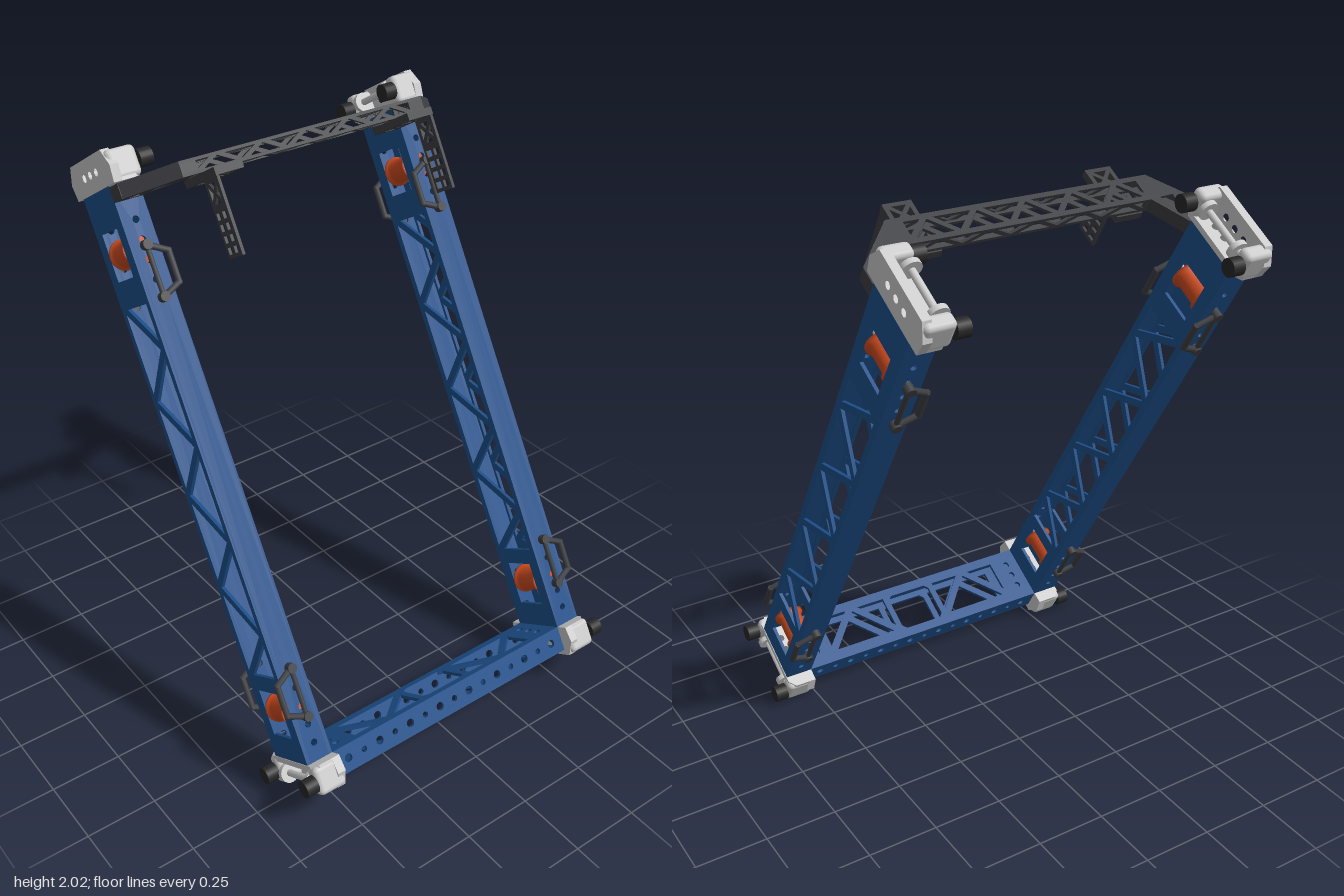
import * as THREE from 'three';
import { RoundedBoxGeometry } from 'three/addons/geometries/RoundedBoxGeometry.js';

const mat = (color) => new THREE.MeshStandardMaterial({ color });
const blue = mat(0x1d4f8a), dark = mat(0x3d3e42), black = mat(0x262626);
const orange = mat(0xcc4a20), grey = mat(0xcccccc);

function add(parent, name, geo, material, x = 0, y = 0, z = 0) {
  const m = new THREE.Mesh(geo, material);
  m.name = name;
  m.position.set(x, y, z);
  parent.add(m);
  return m;
}

// Flat plate cut from an outline, with polygon or round holes; centred on its thickness
const vec = (pts) => pts.map(([a, b]) => new THREE.Vector2(a, b));
const rect = (a0, a1, b0, b1) => [[a0, b0], [a1, b0], [a1, b1], [a0, b1]];
function plate(outline, holes, t) {
  const s = new THREE.Shape(vec(outline));
  for (const h of holes) {
    const p = new THREE.Path();
    if (h.r) p.absarc(h.a, h.b, h.r, 0, Math.PI * 2, true);
    else p.setFromPoints(vec(h));
    s.holes.push(p);
  }
  return new THREE.ExtrudeGeometry(s, { depth: t, bevelEnabled: false, curveSegments: 6 }).translate(0, 0, -t / 2);
}
const flat = (g) => g.rotateX(Math.PI / 2);    // outline (a, b) -> (x, z)
const upright = (g) => g.rotateY(-Math.PI / 2); // outline (a, b) -> (z, y)

// Triangle shrunk inwards by d on every side
function inset(tri, d) {
  const [A, B, C] = vec(tri);
  const a = B.distanceTo(C), b = C.distanceTo(A), c = A.distanceTo(B), p = a + b + c;
  const ix = (a * A.x + b * B.x + c * C.x) / p, iy = (a * A.y + b * B.y + c * C.y) / p;
  const r = Math.abs((B.x - A.x) * (C.y - A.y) - (C.x - A.x) * (B.y - A.y)) / p;
  const k = 1 - d / r;
  return tri.map(([x, y]) => [ix + (x - ix) * k, iy + (y - iy) * k]);
}

// Triangular openings of a zigzag truss; runs along a, with b = -w..w about b0
function zigzag(a0, a1, n, w, b0, d) {
  const step = (a1 - a0) / n, node = (k) => [a0 + k * step, b0 + (k % 2 ? w : -w)];
  const tris = [inset([node(0), [a0, b0 + w], node(1)], d)];
  for (let k = 0; k + 2 <= n; k++) tris.push(inset([node(k), node(k + 1), node(k + 2)], d));
  tris.push(inset([node(n - 1), node(n), [a1, b0 + (n % 2 ? -w : w)]], d));
  return tris;
}
// Four openings of an X-braced rectangle
function cross(a0, a1, b0, b1, d) {
  const c = [(a0 + a1) / 2, (b0 + b1) / 2], q = rect(a0, a1, b0, b1);
  return q.map((p, i) => inset([p, q[(i + 1) % 4], c], d));
}
const swap = (tris) => tris.map((t) => t.map(([a, b]) => [b, a]));

function bar(parent, name, p, q, r, material) {
  const A = new THREE.Vector3(...p), B = new THREE.Vector3(...q);
  const m = add(parent, name, new THREE.CylinderGeometry(r, r, A.distanceTo(B) + r, 8), material);
  m.position.copy(A).lerp(B, 0.5);
  m.quaternion.setFromUnitVectors(new THREE.Vector3(0, 1, 0), B.sub(A).normalize());
}

const LEG_X = 0.562, LEG_H = 1.96, T = 0.012;

// Box-section leg with trussed sides
function leg() {
  const g = new THREE.Group();
  g.name = 'leg';
  const windows = [0.167, 1.753].map((y) => rect(-0.062, 0.062, y - 0.08, y + 0.08));
  const holes = [...windows, ...swap(zigzag(0.29, 1.594, 8, 0.1, 0, 0.013))];
  const dots = [];
  for (let i = 0; i < 5; i++) {
    const y = 0.06 + i * 0.065;
    dots.push({ a: 0, b: y, r: 0.012 }, { a: 0, b: LEG_H - 0.06 - y, r: 0.012 });
  }
  for (const s of [-1, 1]) {
    add(g, 'legSide', upright(plate(rect(-0.111, 0.111, 0, LEG_H), holes, T)), blue, s * 0.044);
    add(g, 'legFace', plate(rect(-0.049, 0.049, 0, LEG_H), dots, T), blue, 0, 0, s * 0.105);
  }
  // spools in the windows
  const prof = [[0, -0.062], [0.052, -0.062], [0.052, -0.05], [0.042, -0.044], [0.042, 0.044], [0.052, 0.05], [0.052, 0.062], [0, 0.062]];
  for (const y of [0.167, 1.753]) {
    add(g, 'spool', new THREE.LatheGeometry(vec(prof), 24).rotateX(Math.PI / 2), orange, 0, y);
    add(g, 'spoolAxle', new THREE.CylinderGeometry(0.01, 0.01, 0.2, 10).rotateX(Math.PI / 2), grey, 0, y);
  }
  return g;
}

// Trapezoid grab handle bulging to +x or -x
function handle(s, side) {
  const g = new THREE.Group();
  g.name = 'handle';
  const pts = [[0, 0.085, 0], [s * 0.066, 0.05, 0], [s * 0.066, -0.055, 0], [0, -0.085, 0]];
  for (let i = 0; i < 3; i++) bar(g, 'grip', pts[i], pts[i + 1], 0.011, dark);
  bar(g, 'inner bar', pts[0], pts[3], 0.009, dark);
  for (const y of [-0.085, 0.085])
    add(g, 'post', new THREE.CylinderGeometry(0.017, 0.017, 0.032, 12).rotateX(Math.PI / 2), dark, 0, y, -side * 0.002);
  return g;
}

// C-shaped corner bracket: floor towards +y, feet towards +x
function bracket() {
  const g = new THREE.Group();
  g.name = 'cornerBracket';
  const holes = [-0.05, 0, 0.05].map((a) => ({ a, b: 0, r: 0.013 }));
  const side = [[-0.155, 0.055], [0.155, 0.055], [0.165, 0], [0.13, -0.055], [-0.13, -0.055], [-0.165, 0]];
  add(g, 'bracketSide', upright(plate(side, holes, 0.03)), grey, -0.035);
  const floor = [[-0.05, -0.155], [0.03, -0.155], [0.052, -0.13], [0.052, 0.13], [0.03, 0.155], [-0.05, 0.155]];
  const fholes = [-0.05, 0, 0.05].map((b) => ({ a: 0.005, b, r: 0.013 }));
  add(g, 'bracketFloor', flat(plate(floor, fholes, 0.02)), grey, 0, 0.045);
  for (const s of [-1, 1]) {
    add(g, 'bracketArm', new RoundedBoxGeometry(0.105, 0.1, 0.055, 2, 0.018), grey, 0.004, 0.002, s * 0.13);
    add(g, 'foot', new THREE.CylinderGeometry(0.03, 0.03, 0.045, 20).rotateZ(Math.PI / 2), black, 0.08, 0, s * 0.137);
    add(g, 'axleDisc', new THREE.CylinderGeometry(0.034, 0.034, 0.018, 20).rotateX(Math.PI / 2), grey, 0.035, -0.01, s * 0.085);
  }
  add(g, 'axle', new THREE.CylinderGeometry(0.012, 0.012, 0.23, 12).rotateX(Math.PI / 2), grey, 0.035, -0.01);
  return g;
}

// Bottom beam with trussed top and bottom, drilled front and back
function baseBeam() {
  const g = new THREE.Group();
  g.name = 'baseBeam';
  const truss = [[[-0.09, -0.06], [-0.075, -0.076], [0.075, -0.076], [0.09, -0.06], [0.09, 0.06], [0.075, 0.076], [-0.075, 0.076], [-0.09, 0.06]]];
  for (const s of [-1, 1]) {
    const x0 = s * 0.108, x1 = s * 0.4, xm = s * 0.254;
    truss.push(inset([[x0 + s * 0.005, -0.077], [x1 - s * 0.005, -0.077], [xm, 0.077]], 0.008));
    truss.push(inset([[x0, -0.06], [x0, 0.08], [xm - s * 0.015, 0.08]], 0.005));
    truss.push(inset([[x1, -0.06], [x1, 0.08], [xm + s * 0.015, 0.08]], 0.005));
    for (const b of [-0.05, 0, 0.05]) truss.push({ a: s * 0.46, b, r: 0.013 });
  }
  const dots = [];
  for (let i = -7; i <= 7; i++) dots.push({ a: i * 0.066, b: -0.045, r: i % 2 ? 0.015 : 0.011 });
  for (const y of [-0.006, -0.084])
    add(g, 'beamTruss', flat(plate(rect(-0.515, 0.515, -0.111, 0.111), truss, T)), blue, 0, y);
  for (const z of [-0.105, 0.105])
    add(g, 'beamFace', plate(rect(-0.515, 0.515, -0.09, 0), dots, T), blue, 0, 0, z);
  return g;
}

// Trussed top crossbar with swept-back ends
function crossbar() {
  const g = new THREE.Group();
  g.name = 'crossbar';
  const outline = [[-0.612, 0.11], [-0.512, 0.11], [-0.43, 0.225], [0.43, 0.225], [0.512, 0.11], [0.612, 0.11], [0.612, 0.175], [0.47, 0.328], [-0.47, 0.328], [-0.612, 0.175]];
  const holes = zigzag(-0.43, 0.43, 10, 0.042, 0.2765, 0.009);
  for (const s of [-1, 1]) holes.push(inset([[s * 0.595, 0.125], [s * 0.525, 0.13], [s * 0.54, 0.235]], 0.01),
    inset([[s * 0.52, 0.15], [s * 0.45, 0.235], [s * 0.528, 0.24]], 0.008));
  for (const y of [1.91, 1.95]) add(g, 'crossbarPlate', flat(plate(outline, holes, 0.01)), dark, 0, y);
  const web = zigzag(-0.42, 0.42, 10, 0.022, 1.93, 0.007);
  add(g, 'crossbarFront', plate(rect(-0.47, 0.47, 1.905, 1.955), web, 0.01), dark, 0, 0, 0.323);
  add(g, 'crossbarBack', plate(rect(-0.43, 0.43, 1.905, 1.955), web, 0.01), dark, 0, 0, 0.23);
  // side walls of the swept ends
  const wall = (x0, z0, x1, z1) => {
    const m = add(g, 'endWall', new THREE.BoxGeometry(Math.hypot(x1 - x0, z1 - z0), 0.05, 0.01), dark, (x0 + x1) / 2, 1.93, (z0 + z1) / 2);
    m.rotation.y = -Math.atan2(z1 - z0, x1 - x0);
  };
  for (const s of [-1, 1]) {
    wall(s * 0.608, 0.173, s * 0.468, 0.323);
    wall(s * 0.515, 0.113, s * 0.432, 0.23);
    wall(s * 0.608, 0.11, s * 0.608, 0.175);
    wall(s * 0.512, 0.115, s * 0.612, 0.115);
    // hanging mount: braced flange and drilled drop plate
    const x = s * 0.368, a = [x - 0.042, x + 0.042];
    const braces = [...cross(...a, 0.34, 0.425, 0.007), ...cross(...a, 0.235, 0.32, 0.007)];
    add(g, 'mountFlange', flat(plate(rect(x - 0.05, x + 0.05, 0.222, 0.433), braces, 0.025)), dark, 0, 1.89);
    const slots = cross(0.35, 0.422, 1.79, 1.87, 0.007);
    for (let i = 0; i < 4; i++) for (const z of [0.352, 0.392])
      slots.push(rect(z, z + 0.027, 1.642 + i * 0.036, 1.664 + i * 0.036));
    add(g, 'mountDropPlate', upright(plate(rect(0.342, 0.431, 1.63, 1.89), slots, 0.01)), dark, s * 0.411);
  }
  return g;
}

export function createModel() {
  const model = new THREE.Group();
  model.name = 'leaningFrame';
  // the whole frame leans back
  const frame = new THREE.Group();
  frame.name = 'tiltedFrame';
  frame.rotation.x = THREE.MathUtils.degToRad(-31);
  frame.position.set(0, 0.149, 0.505);
  model.add(frame);
  frame.add(baseBeam(), crossbar());
  for (const s of [-1, 1]) {
    const l = leg();
    l.position.x = s * LEG_X;
    frame.add(l);
    const low = bracket(), high = bracket();
    low.position.set(s * LEG_X, -0.055, 0);
    low.rotation.y = s > 0 ? 0 : Math.PI;
    high.position.set(s * LEG_X, 2.016, 0);
    high.rotation.set(0, s > 0 ? 0 : Math.PI, Math.PI);
    frame.add(low, high);
    // lower handles bulge outwards, upper ones inwards
    for (const f of [-1, 1]) for (const [y, dir] of [[0.24, s], [1.67, -s]]) {
      const h = handle(dir, f);
      h.position.set(s * LEG_X, y, f * 0.124);
      frame.add(h);
    }
  }
  return model;
}
